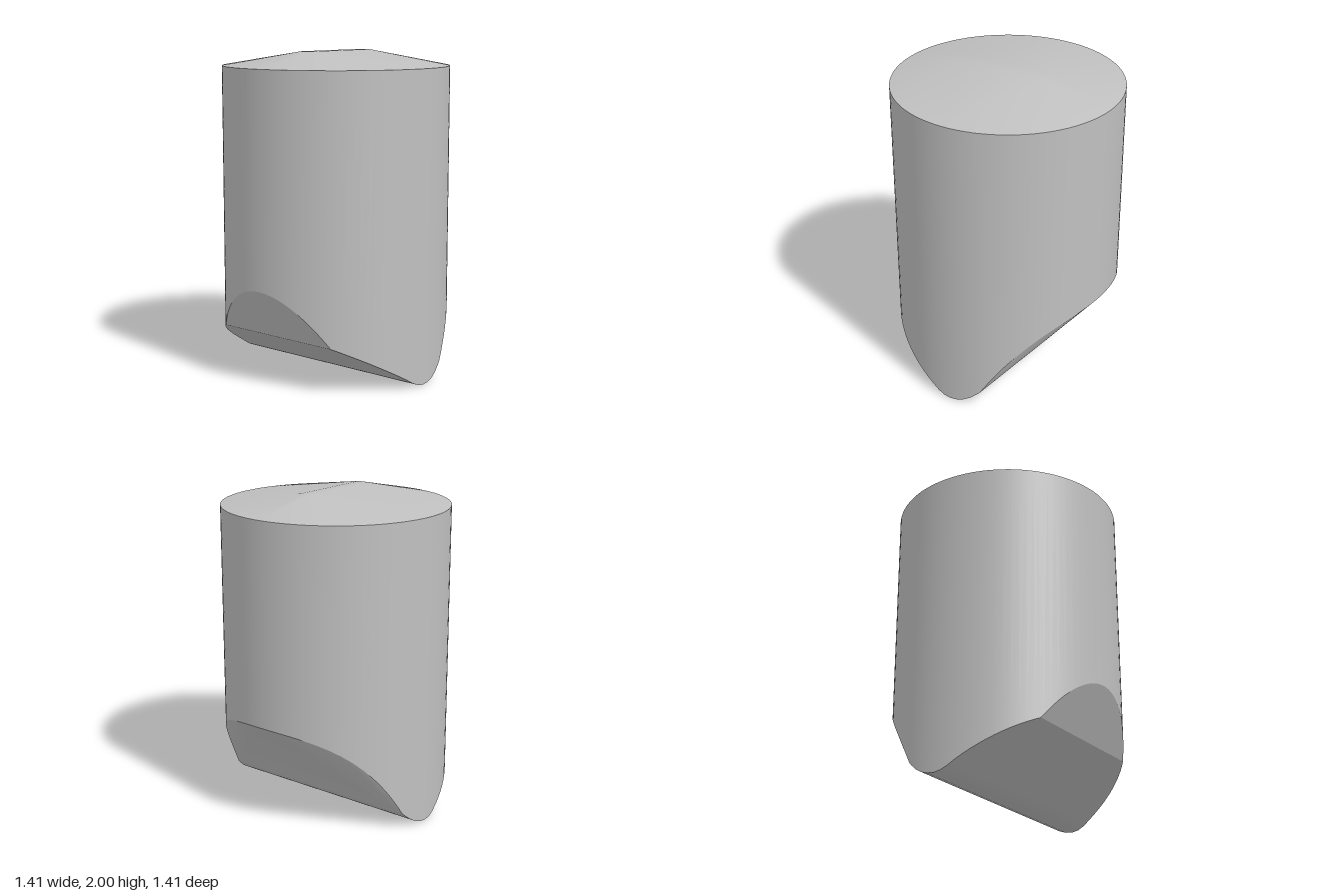
import * as THREE from 'three';
import { toCreasedNormals } from 'three/addons/utils/BufferGeometryUtils.js';

const R = 0.705, RIM = 1.91, STEPS = 48;
const CUT = 0.2, KINK = -0.55; // x where the flat cut starts, x of the left bend

// underside section, from left to the start of the flat cut
const SECTION = [[-R, 0.59], [KINK, 0.285], [-0.15, 0.06], [-0.1, 0.028], [-0.05, 0.006],
  [0, 0], [0.06, 0.008], [0.12, 0.035], [0.17, 0.075], [CUT, 0.103]];

// height of the lower rim at a given x
function rimHeight(x) {
  if (x > CUT) {
    const t = (x - CUT) / (R - CUT);
    return 0.103 + 0.542 * t + 0.31 * t * (1 - t);
  }
  for (let i = 1; i < SECTION.length; i++) {
    const [x0, y0] = SECTION[i - 1], [x1, y1] = SECTION[i];
    if (x <= x1) return y0 + (y1 - y0) * (x - x0) / (x1 - x0);
  }
  return 0.103;
}

function surface(name, triangles, material) {
  const geometry = new THREE.BufferGeometry().setFromPoints(triangles);
  const mesh = new THREE.Mesh(toCreasedNormals(geometry, 0.5), material);
  mesh.name = name;
  return mesh;
}

export function createModel() {
  const group = new THREE.Group();
  group.name = 'cutCylinder';
  const grey = new THREE.MeshStandardMaterial({ color: 0xc0c0c0 });
  grey.name = 'grey';

  // angles round the front half, including the two bends
  const half = Array.from({ length: STEPS + 1 }, (_, i) => i * Math.PI / STEPS);
  const cutAngle = Math.acos(CUT / R);
  half.push(cutAngle, Math.acos(KINK / R));
  half.sort((a, b) => a - b);
  const full = [...half, ...half.slice(0, -1).reverse().map(a => 2 * Math.PI - a)];
  const low = a => new THREE.Vector3(R * Math.cos(a), rimHeight(R * Math.cos(a)), R * Math.sin(a));
  const high = a => new THREE.Vector3(R * Math.cos(a), RIM, R * Math.sin(a));

  // round side wall
  const wall = [];
  for (let i = 0; i < full.length - 1; i++) {
    const a = full[i], b = full[i + 1];
    wall.push(low(a), high(a), low(b), low(b), high(a), high(b));
  }
  group.add(surface('sideWall', wall, grey));

  // underside: rounded keel and left slopes as strips, right cut as two fans
  const front = half.map(low), back = half.map(a => low(-a));
  const k = half.indexOf(cutAngle);
  const under = [front[k], back[k], front[0]];
  for (let i = 0; i < half.length - 1; i++) {
    const f0 = front[i], f1 = front[i + 1], b0 = back[i], b1 = back[i + 1];
    if (i >= k) under.push(f0, f1, b0, b0, f1, b1);
    else if (i < k - 1) under.push(front[k], f0, f1, back[k], b1, b0);
    else continue;
  }
  // close the last sliver of each fan
  under.push(front[k], front[k - 1], front[k], back[k], back[k], back[k - 1]);
  group.add(surface('underside', under, grey));

  // low hipped top with a narrow ridge
  const ridge = [[1, 1], [-1, 1], [-1, -1], [1, -1]]
    .map(([sx, sz]) => new THREE.Vector3(0.28 * sx, 2, 0.04 * sz));
  const [c0, c1, c2, c3] = ridge;
  const top = [c0, c3, c1, c1, c3, c2];
  for (let i = 0; i < full.length - 1; i++) {
    const q = Math.floor((full[i] + full[i + 1]) / Math.PI);
    top.push(ridge[q], high(full[i + 1]), high(full[i]));
  }
  for (let q = 0; q < 4; q++) top.push(ridge[q], ridge[(q + 1) % 4], high((q + 1) * Math.PI / 2));
  group.add(surface('hippedTop', top, grey));

  return group;
}
